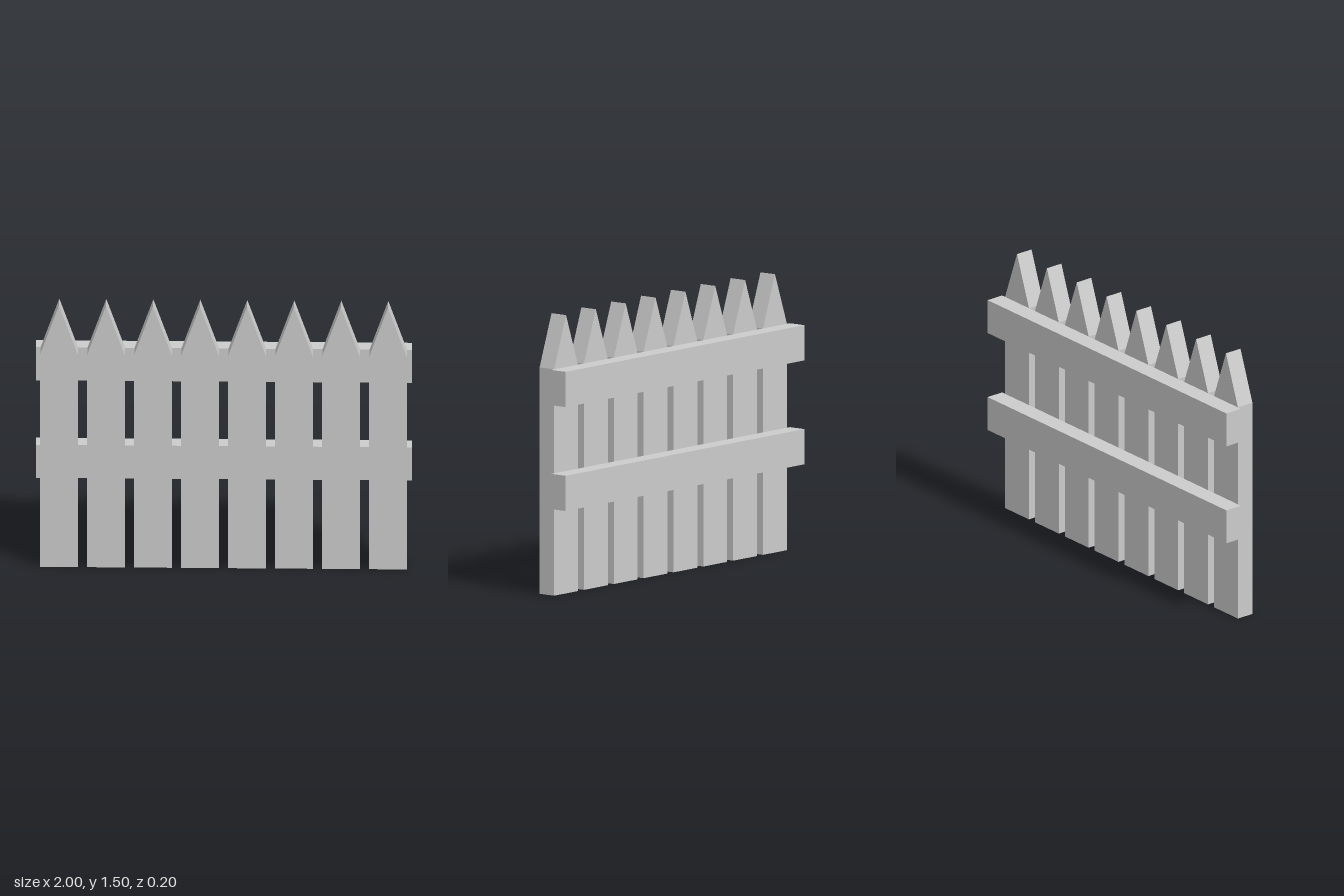
import * as THREE from 'three';

const PICKETS = 8, SPACING = 0.25, HALF_WIDTH = 0.1, DEPTH = 0.1;
const SHOULDER = 1.22, TIP = 1.5;

export function createModel() {
  const fence = new THREE.Group();
  fence.name = 'picketFence';
  const material = new THREE.MeshStandardMaterial({ color: 0xcccccc, flatShading: true });

  // Pointed pickets, standing in front of the rails
  const outline = new THREE.Shape([
    new THREE.Vector2(-HALF_WIDTH, 0),
    new THREE.Vector2(HALF_WIDTH, 0),
    new THREE.Vector2(HALF_WIDTH, SHOULDER),
    new THREE.Vector2(0, TIP),
    new THREE.Vector2(-HALF_WIDTH, SHOULDER),
  ]);
  const picketGeometry = new THREE.ExtrudeGeometry(outline, { depth: DEPTH, bevelEnabled: false });
  for (let i = 0; i < PICKETS; i++) {
    const picket = new THREE.Mesh(picketGeometry, material);
    picket.name = `picket${i + 1}`;
    picket.position.x = (i - (PICKETS - 1) / 2) * SPACING;
    fence.add(picket);
  }

  // Two horizontal rails along the back
  const railGeometry = new THREE.BoxGeometry(2, 0.19, DEPTH);
  for (const [name, y] of [['lowerRail', 0.565], ['upperRail', 1.125]]) {
    const rail = new THREE.Mesh(railGeometry, material);
    rail.name = name;
    rail.position.set(0, y, -DEPTH / 2);
    fence.add(rail);
  }

  return fence;
}
